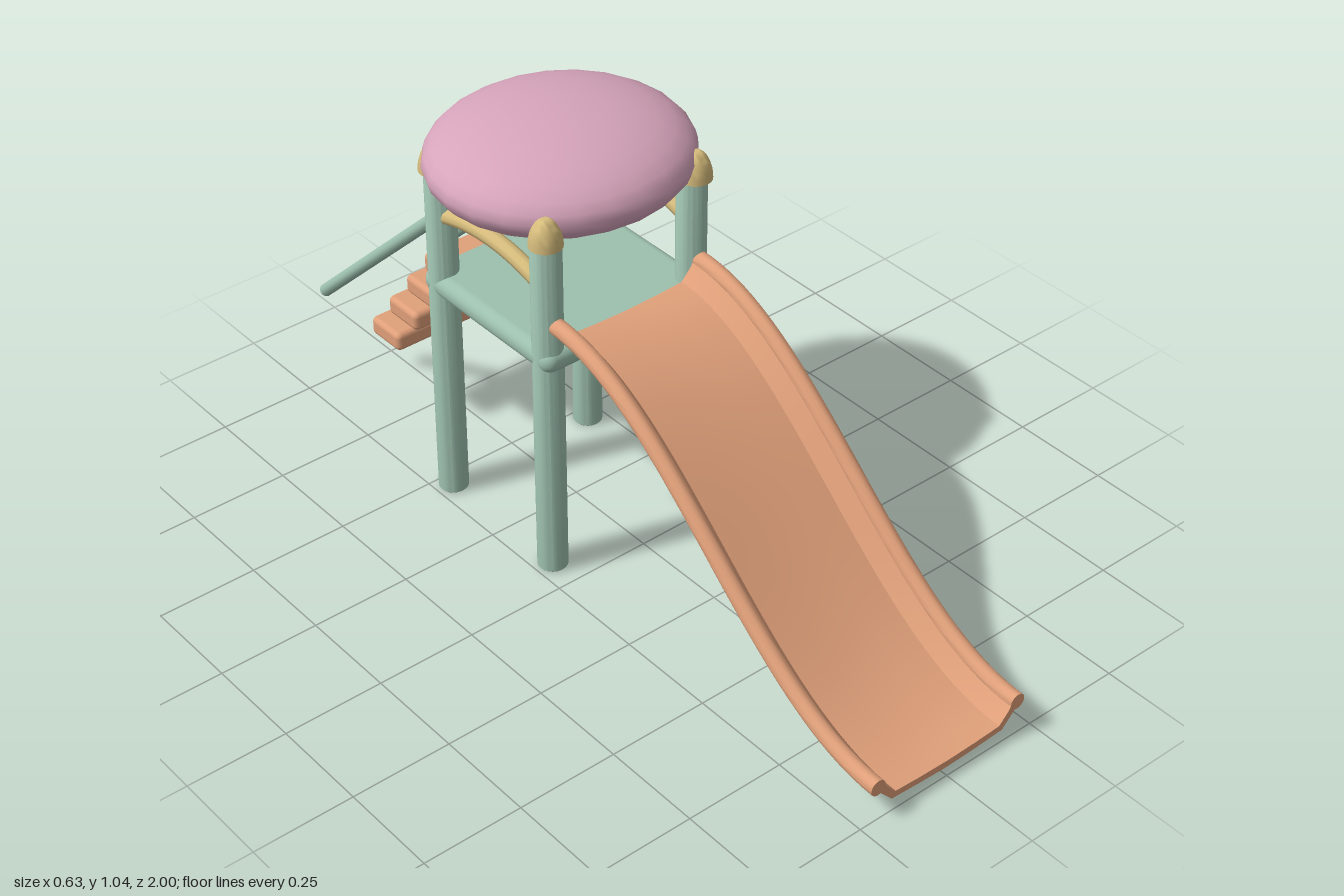
import * as THREE from 'three';
import { toCreasedNormals } from 'three/addons/utils/BufferGeometryUtils.js';
import { RoundedBoxGeometry } from 'three/addons/geometries/RoundedBoxGeometry.js';

function material(name, color) {
  const m = new THREE.MeshStandardMaterial({ color });
  m.name = name;
  return m;
}

// Slide path: a half cosine wave running down from the deck to the front.
const SLIDE_BACK = -0.05, SLIDE_FRONT = 1.0, SLIDE_TOP = 0.684, SLIDE_END = 0.09;

// Sweeps a flat (x, y) outline along the slide path.
function sweepOnSlide(shape) {
  const geo = new THREE.ExtrudeGeometry(shape, { depth: 1, steps: 40, bevelEnabled: false, curveSegments: 10 });
  const pos = geo.attributes.position;
  const length = SLIDE_FRONT - SLIDE_BACK, drop = SLIDE_TOP - SLIDE_END;
  for (let i = 0; i < pos.count; i++) {
    const t = pos.getZ(i), offset = pos.getY(i);
    const slope = -0.5 * drop * Math.PI * Math.sin(Math.PI * t) / length;
    const k = 1 / Math.hypot(1, slope);
    const y = SLIDE_END + drop * (0.5 + 0.5 * Math.cos(Math.PI * t));
    pos.setY(i, y + offset * k);
    pos.setZ(i, SLIDE_BACK + length * t - offset * slope * k);
  }
  return toCreasedNormals(geo, 0.6);
}

export function createModel() {
  const group = new THREE.Group();
  group.name = 'playgroundSlide';

  const green = material('sage green', 0x9dc0ae);
  const orange = material('terracotta orange', 0xe0a07a);
  const pink = material('dusty pink', 0xd6a4bb);
  const gold = material('soft gold', 0xd6bc7c);

  function add(name, geometry, mat, x = 0, y = 0, z = 0) {
    const mesh = new THREE.Mesh(geometry, mat);
    mesh.name = name;
    mesh.position.set(x, y, z);
    group.add(mesh);
    return mesh;
  }

  // Straight round bar between two points
  function bar(name, a, b, radius, mat) {
    const dir = b.clone().sub(a);
    const mesh = add(name, new THREE.CylinderGeometry(radius, radius, dir.length(), 12), mat);
    mesh.position.copy(a).add(b).multiplyScalar(0.5);
    mesh.quaternion.setFromUnitVectors(new THREE.Vector3(0, 1, 0), dir.normalize());
  }

  // Posts with slightly softened ends, each topped by an egg-shaped cap
  const postProfile = [[0, 0], [0.032, 0], [0.036, 0.004], [0.036, 0.883], [0.034, 0.886], [0, 0.886]]
    .map(([r, y]) => new THREE.Vector2(r, y));
  const postGeo = toCreasedNormals(new THREE.LatheGeometry(postProfile, 20), 0.6);
  const capProfile = [new THREE.Vector2(0, 0)];
  for (let i = 0; i <= 8; i++) {
    const a = (i / 8) * Math.PI / 2;
    capProfile.push(new THREE.Vector2(0.039 * Math.cos(a), 0.071 * Math.sin(a)));
  }
  const capGeo = toCreasedNormals(new THREE.LatheGeometry(capProfile, 20), 0.7);

  for (const side of [-1, 1]) {
    for (const end of [-1, 1]) {
      add('post', postGeo, green, side * 0.205, 0, -0.27 + end * 0.19);
      add('postCap', capGeo, gold, side * 0.21, 0.885, -0.27 + end * 0.197);
    }

    // Arched side rail between the post tops
    const arch = new THREE.QuadraticBezierCurve3(
      new THREE.Vector3(side * 0.207, 0.768, -0.08),
      new THREE.Vector3(side * 0.207, 0.838, -0.27),
      new THREE.Vector3(side * 0.207, 0.768, -0.46));
    add('archRail', new THREE.TubeGeometry(arch, 16, 0.02, 10), gold);

    // Handrail beside the steps
    bar('handrail', new THREE.Vector3(side * 0.188, 0.772, -0.46),
      new THREE.Vector3(side * 0.188, 0.276, -0.988), 0.016, green);

    // Rounded rim of the slide
    const rim = new THREE.Shape();
    rim.absarc(side * 0.204, 0, 0.02, 0, Math.PI * 2);
    add('slideRim', sweepOnSlide(rim), orange);
  }

  // Deck
  add('deck', new RoundedBoxGeometry(0.48, 0.06, 0.465, 4, 0.029), green, 0, 0.59, -0.27);

  // Domed roof
  const roof = add('roof', new THREE.SphereGeometry(1, 24, 16), pink, 0, 0.932, -0.286);
  roof.scale.set(0.315, 0.113, 0.295);

  // Steps
  const stepGeo = new RoundedBoxGeometry(0.36, 0.05, 0.112, 2, 0.014);
  for (let i = 0; i < 4; i++) {
    add('step', stepGeo, orange, 0, 0.57 - i * 0.1015, -0.522 - i * 0.0775);
  }

  // Slide bed: shallow trough, upper edge then lower edge
  const bed = new THREE.Shape([
    [-0.2, -0.015], [-0.162, -0.056], [-0.08, -0.061], [0, -0.064], [0.08, -0.061], [0.162, -0.056], [0.2, -0.015],
    [0.19, 0.006], [0.178, -0.012], [0.152, -0.04], [0.08, -0.044], [0, -0.046],
    [-0.08, -0.044], [-0.152, -0.04], [-0.178, -0.012], [-0.19, 0.006],
  ].map(([x, y]) => new THREE.Vector2(x, y)));
  add('slideBed', sweepOnSlide(bed), orange);

  return group;
}
